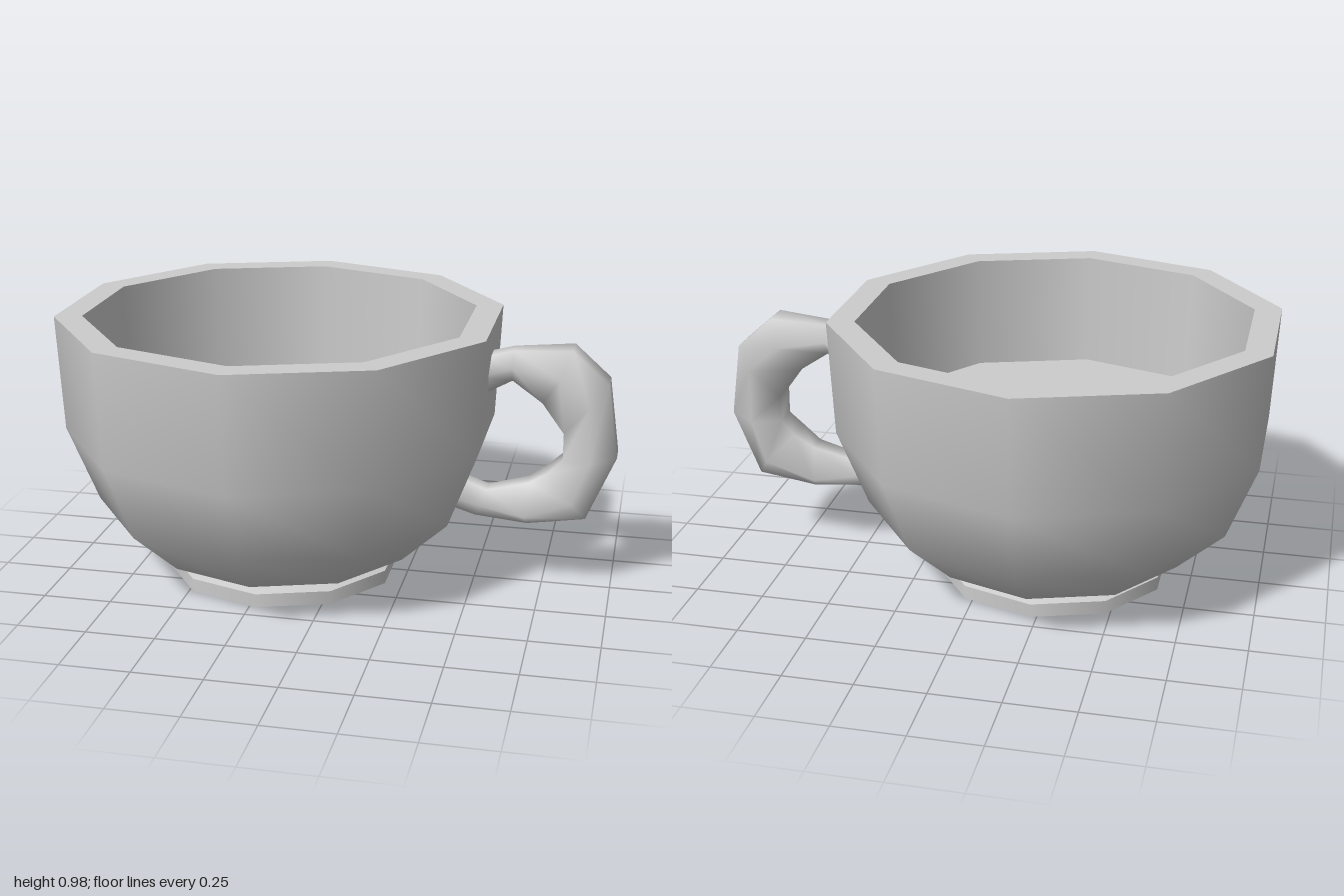
import * as THREE from 'three';

export function createModel() {
  const model = new THREE.Group();
  const ceramic = new THREE.MeshStandardMaterial({ color: 0xcccccc });
  ceramic.name = 'grey ceramic';

  const cup = new THREE.Group();
  cup.name = 'cup';
  cup.position.x = -0.227;
  model.add(cup);

  // Ten-sided ring of surface; each one is smooth, with sharp edges between them
  function ring(name, profile) {
    const points = profile.map(([r, y]) => new THREE.Vector2(r, y));
    const mesh = new THREE.Mesh(new THREE.LatheGeometry(points, 10), ceramic);
    mesh.name = name;
    cup.add(mesh);
  }

  ring('footBase', [[0, 0], [0.435, 0]]);
  ring('footSide', [[0.435, 0], [0.435, 0.05]]);
  ring('footBevel', [[0.435, 0.05], [0.39, 0.065]]);
  ring('bowl', [[0.39, 0.065], [0.505, 0.11], [0.685, 0.28], [0.795, 0.56], [0.815, 0.98]]);
  ring('rim', [[0.815, 0.98], [0.715, 0.98]]);
  ring('innerWall', [[0.715, 0.98], [0.7, 0.56]]);
  ring('innerFloor', [[0.7, 0.56], [0, 0.56]]);

  // Handle stations, top to bottom: outer x y, widest x y, inner x y, half width
  const stations = [
    [0.51, 0.86, 0.51, 0.8, 0.51, 0.72, 0.085],
    [0.62, 0.89, 0.62, 0.835, 0.62, 0.78, 0.075],
    [0.83, 0.905, 0.79, 0.815, 0.73, 0.71, 0.12],
    [0.96, 0.79, 0.9, 0.72, 0.81, 0.6, 0.115],
    [1.0, 0.52, 0.91, 0.51, 0.81, 0.5, 0.105],
    [0.9, 0.285, 0.85, 0.36, 0.76, 0.45, 0.125],
    [0.69, 0.245, 0.68, 0.285, 0.69, 0.4, 0.09],
    [0.5, 0.26, 0.52, 0.31, 0.54, 0.36, 0.075],
    [0.4, 0.29, 0.41, 0.34, 0.43, 0.4, 0.075],
  ];
  const positions = [];
  const indices = [];
  stations.forEach(([ox, oy, mx, my, ix, iy, w], i) => {
    const n = w * 0.45;
    positions.push(ox, oy, n, mx, my, w, ix, iy, n, ix, iy, -n, mx, my, -w, ox, oy, -n);
    if (i === stations.length - 1) return;
    for (let j = 0; j < 6; j++) {
      const a = i * 6 + j;
      const b = i * 6 + (j + 1) % 6;
      indices.push(a, b, b + 6, a, b + 6, a + 6);
    }
  });
  const geometry = new THREE.BufferGeometry();
  geometry.setAttribute('position', new THREE.Float32BufferAttribute(positions, 3));
  geometry.setIndex(indices);
  geometry.computeVertexNormals();
  const handle = new THREE.Mesh(geometry, ceramic);
  handle.name = 'handle';
  model.add(handle);

  return model;
}
